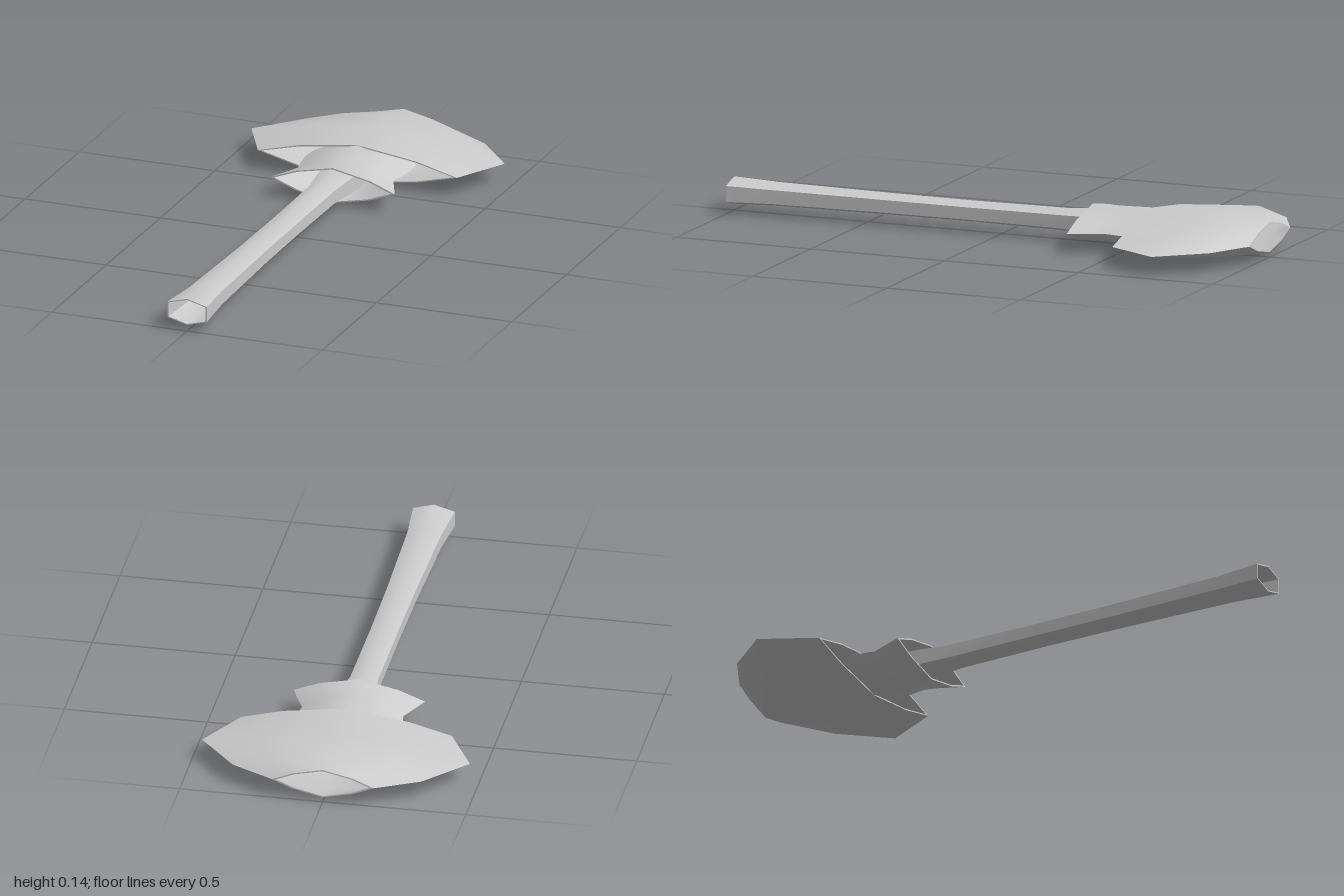
import * as THREE from 'three';
import { toCreasedNormals } from 'three/addons/utils/BufferGeometryUtils.js';

const CENTRE_Y = 0.07;

// Cross-sections as fractions of half width and half height, counterclockwise from +z
const HEXAGON = [[1, -0.58], [1, 0.58], [0, 1], [-1, 0.58], [-1, -0.58], [0, -1]];
const LENS = [[1, 0], [0.6, 0.55], [0, 1], [-0.6, 0.55], [-1, 0], [-0.6, -0.55], [0, -1], [0.6, -0.55]];

// Hollow tube with open ends: stations are [z, halfWidth, halfHeight], front to back
function shell(stations, section, wallX, wallY) {
  const inner = stations.map(([z, w, h]) => [z, w - wallX, h - wallY]).reverse();
  const rings = [...stations, ...inner];
  const positions = [];
  const index = [];
  const n = section.length;
  for (const [z, w, h] of rings) {
    for (const [sx, sy] of section) positions.push(sx * w, CENTRE_Y + sy * h, z);
  }
  for (let i = 0; i < rings.length; i++) {
    const next = (i + 1) % rings.length;
    for (let j = 0; j < n; j++) {
      const k = (j + 1) % n;
      const a = i * n + j, b = i * n + k, c = next * n + k, d = next * n + j;
      index.push(a, d, c, a, c, b);
    }
  }
  const geometry = new THREE.BufferGeometry();
  geometry.setAttribute('position', new THREE.Float32BufferAttribute(positions, 3));
  geometry.setIndex(index);
  return toCreasedNormals(geometry, 0.7);
}

export function createModel() {
  const model = new THREE.Group();
  const grey = new THREE.MeshStandardMaterial({ color: 0xcccccc, side: THREE.DoubleSide });
  grey.name = 'light grey';

  const add = (name, geometry) => {
    const mesh = new THREE.Mesh(geometry, grey);
    mesh.name = name;
    model.add(mesh);
  };

  // Hexagonal stem, flared at both ends
  add('stem', shell([
    [1, 0.073, 0.048], [0.83, 0.059, 0.042], [0.4, 0.05, 0.038], [0.1, 0.048, 0.037],
    [-0.25, 0.049, 0.04], [-0.36, 0.062, 0.048], [-0.52, 0.07, 0.05],
  ], HEXAGON, 0.004, 0.004));

  // Skirt around the top of the stem
  add('collar', shell([
    [-0.34, 0.23, 0.064], [-0.46, 0.177, 0.065], [-0.57, 0.195, 0.068], [-0.64, 0.19, 0.065],
  ], LENS, 0.014, 0.005));

  // Broad flattened cap, open at the rim and the crown
  add('cap', shell([
    [-0.57, 0.368, 0.069], [-0.76, 0.468, 0.07], [-0.92, 0.33, 0.068], [-1, 0.178, 0.053],
  ], LENS, 0.014, 0.005));

  return model;
}
